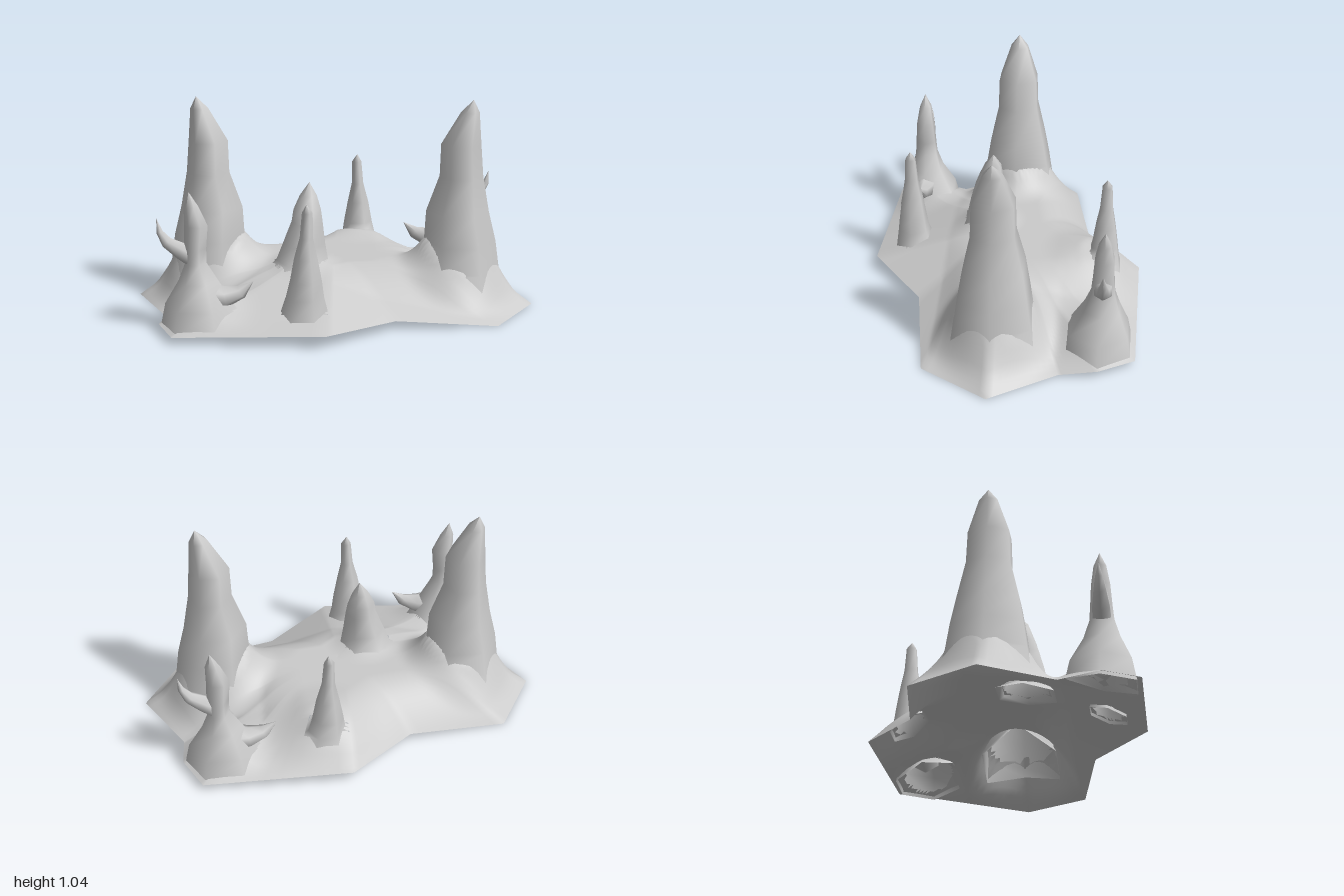
import * as THREE from 'three';

const material = new THREE.MeshStandardMaterial({ color: 0xcccccc, side: THREE.DoubleSide });
const SIDES = 6;
const FLOOR = 0.235;
const { clamp, lerp } = THREE.MathUtils;

// Spires and branches as rings of [x, y, z, rx, rz]
const tallSpire = [
  [0.64, 0.08, 0, 0.205, 0.205], [0.635, 0.2, 0, 0.192, 0.188], [0.63, 0.33, 0, 0.178, 0.17],
  [0.615, 0.48, 0, 0.155, 0.145], [0.63, 0.66, 0, 0.107, 0.105], [0.625, 0.82, 0, 0.098, 0.1],
  [0.665, 0.98, 0, 0.045, 0.045], [0.68, 1.04, 0, 0, 0],
];
const smallSpire = [
  [-0.105, 0.11, 0.5, 0.115, 0.09], [-0.1, 0.19, 0.5, 0.09, 0.075], [-0.095, 0.27, 0.5, 0.075, 0.065],
  [-0.095, 0.38, 0.5, 0.055, 0.05], [-0.092, 0.48, 0.5, 0.031, 0.033],
  [-0.087, 0.6, 0.5, 0.025, 0.025], [-0.09, 0.64, 0.5, 0, 0],
];
const middleSpire = [
  [-0.16, 0.15, 0.115, 0.165, 0.145], [-0.15, 0.24, 0.11, 0.13, 0.115], [-0.14, 0.33, 0.11, 0.105, 0.1],
  [-0.125, 0.44, 0.105, 0.077, 0.075], [-0.125, 0.5, 0.095, 0.068, 0.062],
  [-0.12, 0.57, 0.085, 0.042, 0.042], [-0.115, 0.635, 0.08, 0, 0],
];
const branchedTrunk = [
  [-0.6, 0.03, 0.495, 0.19, 0.16], [-0.6, 0.14, 0.495, 0.165, 0.14], [-0.6, 0.26, 0.503, 0.095, 0.085],
  [-0.61, 0.35, 0.505, 0.05, 0.058], [-0.612, 0.42, 0.505, 0.052, 0.052],
  [-0.605, 0.53, 0.505, 0.055, 0.045], [-0.625, 0.62, 0.505, 0.035, 0.03], [-0.635, 0.69, 0.505, 0, 0],
];
const upperBranch = [
  [-0.6, 0.365, 0.505, 0.055, 0.045], [-0.68, 0.405, 0.505, 0.042, 0.04],
  [-0.745, 0.445, 0.505, 0.029, 0.029], [-0.777, 0.495, 0.505, 0.016, 0.018], [-0.79, 0.56, 0.505, 0, 0],
];
const lowerSpike = [
  [-0.58, 0.18, 0.505, 0.075, 0.07], [-0.47, 0.185, 0.505, 0.052, 0.048],
  [-0.4, 0.21, 0.505, 0.033, 0.03], [-0.34, 0.265, 0.505, 0, 0],
];
const halfTurn = (rings) => rings.map(([x, y, z, ...radii]) => [-x, y, -z, ...radii]);

// Half of the base outline as [x, z, y]; the other half is its half-turn
const halfOutline = [
  [1, 0, 0], [0.815, 0.325, 0], [0.325, 0.41, 0.045], [0.015, 0.68, 0.065],
  [-0.705, 0.67, 0.035], [-0.8, 0.5, 0.035], [-0.8, 0.315, 0],
];
const outline = [...halfOutline, ...halfOutline.map(([x, z, y]) => [-x, -z, y])];

// Swellings of the ground at the spire feet: [x, z, radius, falloff, height]
const swellings = [
  [0.63, 0, 0.17, 0.15, 0.12], [-0.63, 0, 0.17, 0.15, 0.12],
  [0.6, -0.5, 0.08, 0.2, 0.05], [-0.6, 0.5, 0.08, 0.2, 0.05],
  [0.09, -0.46, 0.08, 0.2, 0.035], [-0.14, 0.11, 0.1, 0.1, 0.02],
];

// Ground height: a plateau falling to the outline, lower at the front and in the back left valley
function groundAt(x, z) {
  let y = FLOOR;
  for (let i = 0; i < outline.length; i++) {
    const a = outline[i], b = outline[(i + 1) % outline.length];
    const ca = a[0] * z - a[1] * x, cb = b[0] * z - b[1] * x;
    if (ca < -1e-9 || cb > 1e-9 || ca - cb < 1e-9) continue;
    const [ex, ez, ey] = a.map((v, k) => lerp(v, b[k], ca / (ca - cb)));
    const t = Math.min(1, Math.hypot(x, z) / Math.hypot(ex, ez));
    const plateau = 1 - Math.max(0, (t - 0.4) / 0.6) ** 2;
    const slope = Math.min(1, (1 - t) / 0.75);
    const valley = z > 0 ? clamp(z / 0.3, 0, 1) : clamp(-z / 0.3, 0, 1) * clamp((x - 0.2) / 0.2, 0, 1);
    y = lerp(ey, FLOOR, lerp(plateau, slope, valley));
    // Swellings fade out at the rim
    const fade = Math.min(1, (1 - t) * 8);
    for (const [sx, sz, radius, falloff, height] of swellings) {
      const d = Math.hypot(x - sx, z - sz);
      y += fade * height * clamp(1 - (d - radius) / falloff, 0, 1) ** 2;
    }
    break;
  }
  return y;
}

function meshFrom(name, positions, indices) {
  const geometry = new THREE.BufferGeometry();
  geometry.setAttribute('position', new THREE.Float32BufferAttribute(positions, 3));
  geometry.setIndex(indices);
  geometry.computeVertexNormals();
  const mesh = new THREE.Mesh(geometry, material);
  mesh.name = name;
  return mesh;
}

// Six-sided loft; bend turns rings square to the path, otherwise the foot rests on the ground
function loft(name, rings, bend = false) {
  const positions = [], indices = [];
  rings.forEach(([x, y, z, rx, rz], i) => {
    const a = rings[Math.max(i - 1, 0)], b = rings[Math.min(i + 1, rings.length - 1)];
    const tangent = bend ? new THREE.Vector2(b[0] - a[0], b[1] - a[1]).normalize() : new THREE.Vector2(0, 1);
    for (let j = 0; j < SIDES; j++) {
      const angle = j / SIDES * Math.PI * 2;
      const c = Math.cos(angle) * rx, s = Math.sin(angle) * rz / 0.9;
      const px = x + tangent.y * c, py = y - tangent.x * c, pz = z + s;
      const foot = groundAt(px, pz) - 0.015;
      positions.push(px, bend ? py : i === 0 ? foot : Math.max(py, foot), pz);
      if (i < rings.length - 1) {
        const p = i * SIDES + j, q = i * SIDES + (j + 1) % SIDES;
        indices.push(p, p + SIDES, q, q, p + SIDES, q + SIDES);
      }
    }
  });
  return meshFrom(name, positions, indices);
}

// Ground sheet, left open beneath the hollow spires
function ground() {
  const split = 10, rows = 40, columns = outline.length * split;
  const holes = [middleSpire[0]];
  for (const rings of [tallSpire, smallSpire, branchedTrunk]) holes.push(rings[0], halfTurn(rings)[0]);
  const positions = [], indices = [];
  for (let i = 0; i <= rows; i++) {
    for (let j = 0; j < columns; j++) {
      const a = outline[Math.floor(j / split)], b = outline[(Math.floor(j / split) + 1) % outline.length];
      const [x, z] = a.map((v, k) => lerp(v, b[k], (j % split) / split) * i / rows);
      positions.push(x, groundAt(x, z), z);
    }
  }
  const addFace = (...face) => {
    const x = face.reduce((sum, v) => sum + positions[v * 3], 0) / 3;
    const z = face.reduce((sum, v) => sum + positions[v * 3 + 2], 0) / 3;
    const inHole = holes.some(([hx, , hz, rx, rz]) => Math.hypot((x - hx) / rx, (z - hz) / rz) < 0.78);
    if (!inHole) indices.push(...face);
  };
  for (let i = 0; i < rows; i++) {
    for (let j = 0; j < columns; j++) {
      const p = i * columns + j, q = i * columns + (j + 1) % columns;
      if (i > 0) addFace(p, q, p + columns);
      addFace(q, q + columns, p + columns);
    }
  }
  return meshFrom('ground', positions, indices);
}

export function createModel() {
  const model = new THREE.Group();
  model.name = 'rockFormation';
  model.add(ground(), loft('middleSpire', middleSpire));

  // Each half carries one tall spire, one small spire and one branched spire
  for (const [name, place] of [['frontRocks', (rings) => rings], ['backRocks', halfTurn]]) {
    const half = new THREE.Group();
    half.name = name;
    half.add(
      loft('tallSpire', place(tallSpire)),
      loft('smallSpire', place(smallSpire)),
      loft('branchedTrunk', place(branchedTrunk)),
      loft('upperBranch', place(upperBranch), true),
      loft('lowerSpike', place(lowerSpike), true),
    );
    model.add(half);
  }
  return model;
}
